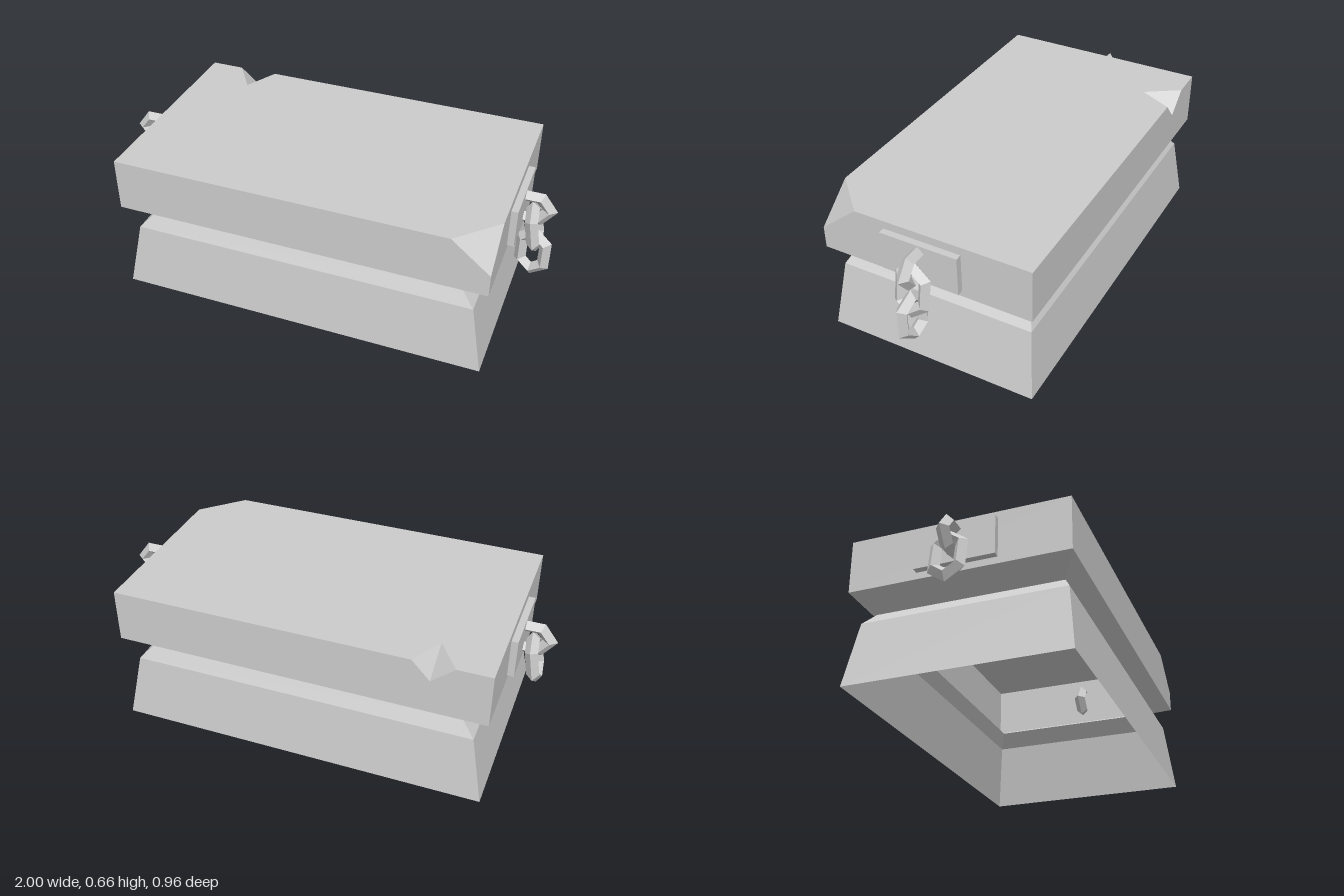
import * as THREE from 'three';

const material = new THREE.MeshStandardMaterial({ color: 0xcccccc, flatShading: true, side: THREE.DoubleSide });

// Builds a mesh from flat polygons, each fanned from its first corner
function polygonMesh(name, polygons) {
  const positions = [];
  for (const p of polygons) {
    for (let i = 1; i < p.length - 1; i++) positions.push(...p[0], ...p[i], ...p[i + 1]);
  }
  const geometry = new THREE.BufferGeometry();
  geometry.setAttribute('position', new THREE.Float32BufferAttribute(positions, 3));
  geometry.computeVertexNormals();
  const mesh = new THREE.Mesh(geometry, material);
  mesh.name = name;
  return mesh;
}

// Flared hollow base with a narrow neck, open underneath
function createBase() {
  const rings = [[0.83, 0, 0.48], [0.77, 0.3, 0.445], [0.71, 0.365, 0.41], [0.83, 0.42, 0.48]]
    .map(([x, y, z]) => [[-x, y, z], [x, y, z], [x, y, -z], [-x, y, -z]]);
  const faces = [];
  for (let r = 0; r < rings.length - 1; r++) {
    for (let i = 0; i < 4; i++) {
      const j = (i + 1) % 4;
      faces.push([rings[r][i], rings[r][j], rings[r + 1][j], rings[r + 1][i]]);
    }
  }
  return polygonMesh('base', faces);
}

// Slab with one chipped corner and a notch in the back edge
function createSlab() {
  const X = 0.83, Z = 0.48, B = 0.42, T = 0.66;
  const chip = [[0.66, T, Z], [X, 0.52, Z], [X, T, 0.31]];
  const notchA = [-0.68, T, -Z], notchB = [-0.5, T, -Z];
  const notchTop = [-0.58, T, -0.33], notchLow = [-0.58, 0.575, -Z];
  return polygonMesh('slab', [
    [[-X, B, Z], [X, B, Z], chip[1], chip[0], [-X, T, Z]],
    [[X, B, Z], [X, B, -Z], [X, T, -Z], chip[2], chip[1]],
    [[-X, B, -Z], [-X, B, Z], [-X, T, Z], [-X, T, -Z]],
    [notchLow, notchB, [X, T, -Z], [X, B, -Z], [-X, B, -Z], [-X, T, -Z], notchA],
    [notchTop, notchA, [-X, T, -Z], [-X, T, Z], chip[0], chip[2], [X, T, -Z], notchB],
    chip,
    [notchA, notchTop, notchLow],
    [notchB, notchLow, notchTop],
  ]);
}

// Long hexagonal chain link with a diamond cross-section, lying in its xy plane
function createLink(name) {
  const hexagon = (w, s, l, z) =>
    [[0, l, z], [-w, s, z], [-w, -s, z], [0, -l, z], [w, -s, z], [w, s, z]];
  const loops = [
    hexagon(0.08, 0.068, 0.129, 0),
    hexagon(0.053, 0.055, 0.096, 0.028),
    hexagon(0.027, 0.042, 0.064, 0),
    hexagon(0.053, 0.055, 0.096, -0.028),
  ];
  const faces = [];
  for (let j = 0; j < 4; j++) {
    const next = loops[(j + 1) % 4];
    for (let i = 0; i < 6; i++) {
      const k = (i + 1) % 6;
      faces.push([loops[j][i], loops[j][k], next[k], next[i]]);
    }
  }
  return polygonMesh(name, faces);
}

// Wall plate with a hanging chain for one end (side is +1 or -1)
function createChain(side, linkCount) {
  const group = new THREE.Group();
  group.name = side > 0 ? 'leftChain' : 'rightChain';

  const plate = new THREE.Mesh(new THREE.BoxGeometry(0.029, 0.175, 0.35), material);
  plate.name = 'chainPlate';
  plate.position.set(side * 0.8455, 0.5375, 0);
  group.add(plate);

  const anchor = createLink('anchorLink');
  anchor.position.set(side * 0.871, 0.54, 0);
  anchor.rotation.z = Math.PI / 2;
  group.add(anchor);

  const middle = createLink('middleLink');
  middle.position.set(side * 0.912, 0.443, 0);
  middle.rotation.set(0, Math.PI / 2, side * 0.17, 'ZYX');
  group.add(middle);

  if (linkCount > 2) {
    const end = createLink('endLink');
    end.position.set(side * 0.92, 0.318, 0.004);
    end.rotation.y = -0.22;
    group.add(end);
  }
  return group;
}

export function createModel() {
  const model = new THREE.Group();
  model.name = 'chainedStoneBlock';
  model.add(createBase(), createSlab(), createChain(1, 3), createChain(-1, 2));
  return model;
}
